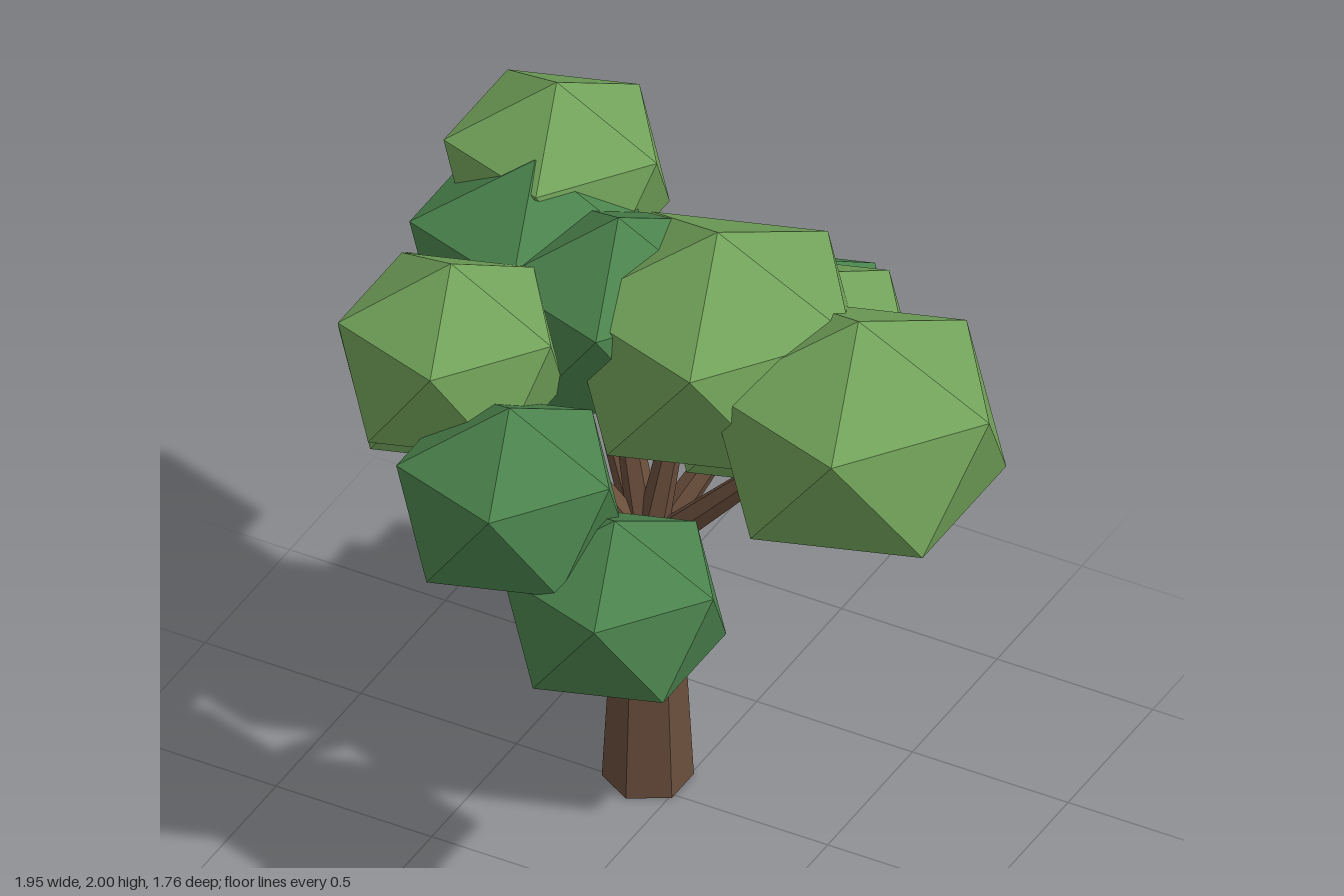
import * as THREE from 'three';
import { ConvexGeometry } from 'three/addons/geometries/ConvexGeometry.js';

export function createModel() {
  const tree = new THREE.Group();
  tree.name = 'tree';

  const mat = (name, color) => {
    const m = new THREE.MeshStandardMaterial({ color, flatShading: true });
    m.name = name;
    return m;
  };
  const bark = mat('bark brown', 0x6a4e3c);
  const lightLeaf = mat('light green', 0x72a35a);
  const darkLeaf = mat('dark green', 0x4b834d);

  // Unit icosahedron standing on a point: two poles and two staggered rings of five
  const points = [new THREE.Vector3(0, 1, 0), new THREE.Vector3(0, -1, 0)];
  const h = 1 / Math.sqrt(5);
  for (let i = 0; i < 10; i++) {
    const a = (i * Math.PI) / 5;
    points.push(new THREE.Vector3(2 * h * Math.cos(a), i % 2 ? -h : h, 2 * h * Math.sin(a)));
  }
  const clumpGeometry = new ConvexGeometry(points);

  // Flattened leaf clumps: x, y, z, horizontal radius, vertical radius
  const addClumps = (name, material, list) => list.forEach(([x, y, z, r, ry], i) => {
    const clump = new THREE.Mesh(clumpGeometry, material);
    clump.name = name + (i + 1);
    clump.position.set(x, y, z);
    clump.scale.set(r, ry, r);
    tree.add(clump);
  });
  addClumps('lightLeafClump', lightLeaf, [
    [0.55, 1.42, -0.09, 0.47, 0.38],
    [0.07, 1.52, -0.14, 0.48, 0.39],
    [-0.52, 1.59, 0.35, 0.36, 0.32],
    [-0.61, 1.69, -0.44, 0.36, 0.31],
    [-0.64, 1.365, 0.09, 0.38, 0.325],
    [0.16, 1.29, -0.39, 0.44, 0.345],
  ]);
  addClumps('darkLeafClump', darkLeaf, [
    [0.12, 1.075, 0.56, 0.355, 0.295],
    [-0.21, 1.35, 0.575, 0.36, 0.31],
    [0.08, 1.22, -0.59, 0.34, 0.305],
    [-0.565, 1.55, -0.23, 0.4, 0.33],
    [-0.235, 1.535, -0.115, 0.39, 0.335],
  ]);

  // Tapered six-sided trunk
  const trunk = new THREE.Mesh(new THREE.CylinderGeometry(0.086, 0.13, 0.84, 6), bark);
  trunk.name = 'trunk';
  trunk.position.set(-0.105, 0.42, -0.05);
  tree.add(trunk);

  // Branches fan out from the top of the trunk into the clumps
  const up = new THREE.Vector3(0, 1, 0);
  const fork = new THREE.Vector3(-0.105, 0.8, -0.05);
  [
    [0.42, 1.35, -0.09],
    [-0.03, 1.32, 0.48],
    [0.1, 1.25, -0.4],
    [-0.5, 1.32, 0.06],
    [-0.02, 1.4, -0.12],
    [-0.27, 1.45, -0.14],
    [-0.5, 1.5, -0.3],
  ].forEach((tip, i) => {
    const end = new THREE.Vector3(...tip);
    const dir = end.clone().sub(fork);
    const branch = new THREE.Mesh(new THREE.CylinderGeometry(0.025, 0.05, dir.length(), 6), bark);
    branch.name = 'branch' + (i + 1);
    branch.position.copy(fork).add(end).multiplyScalar(0.5);
    branch.quaternion.setFromUnitVectors(up, dir.normalize());
    tree.add(branch);
  });

  return tree;
}
